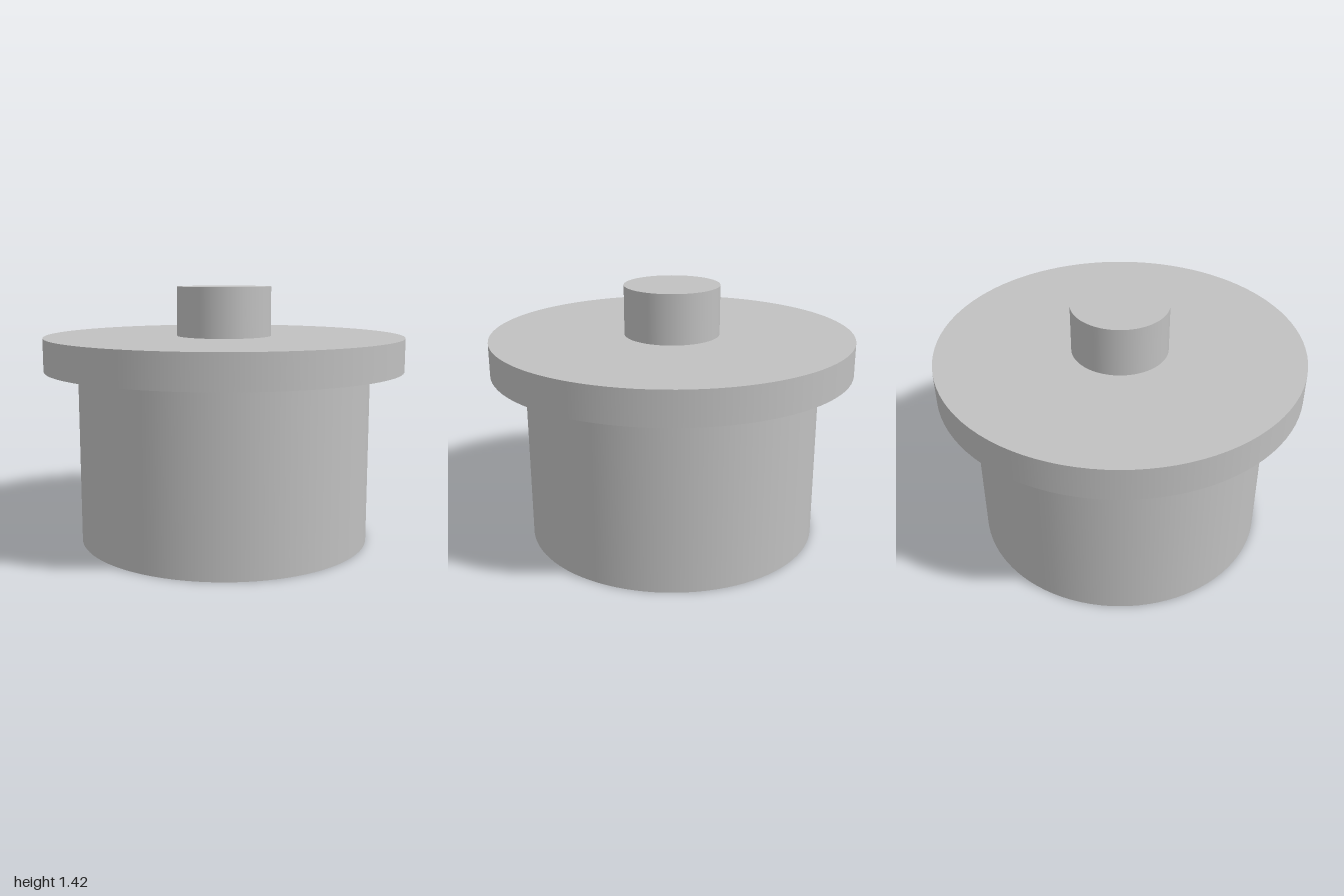
import * as THREE from 'three';

const SIDES = 96;

export function createModel() {
  const model = new THREE.Group();
  model.name = 'flangedPlug';

  const grey = new THREE.MeshStandardMaterial({ color: 0xc0c0c0 });
  grey.name = 'light grey';

  // Adds an upright solid disc between two heights
  function addDisc(name, radius, bottom, top) {
    const height = top - bottom;
    const mesh = new THREE.Mesh(new THREE.CylinderGeometry(radius, radius, height, SIDES), grey);
    mesh.name = name;
    mesh.position.y = bottom + height / 2;
    model.add(mesh);
  }

  addDisc('body', 0.815, 0, 0.965);
  addDisc('flange', 1, 0.965, 1.147);
  addDisc('knob', 0.263, 1.147, 1.42);

  return model;
}
